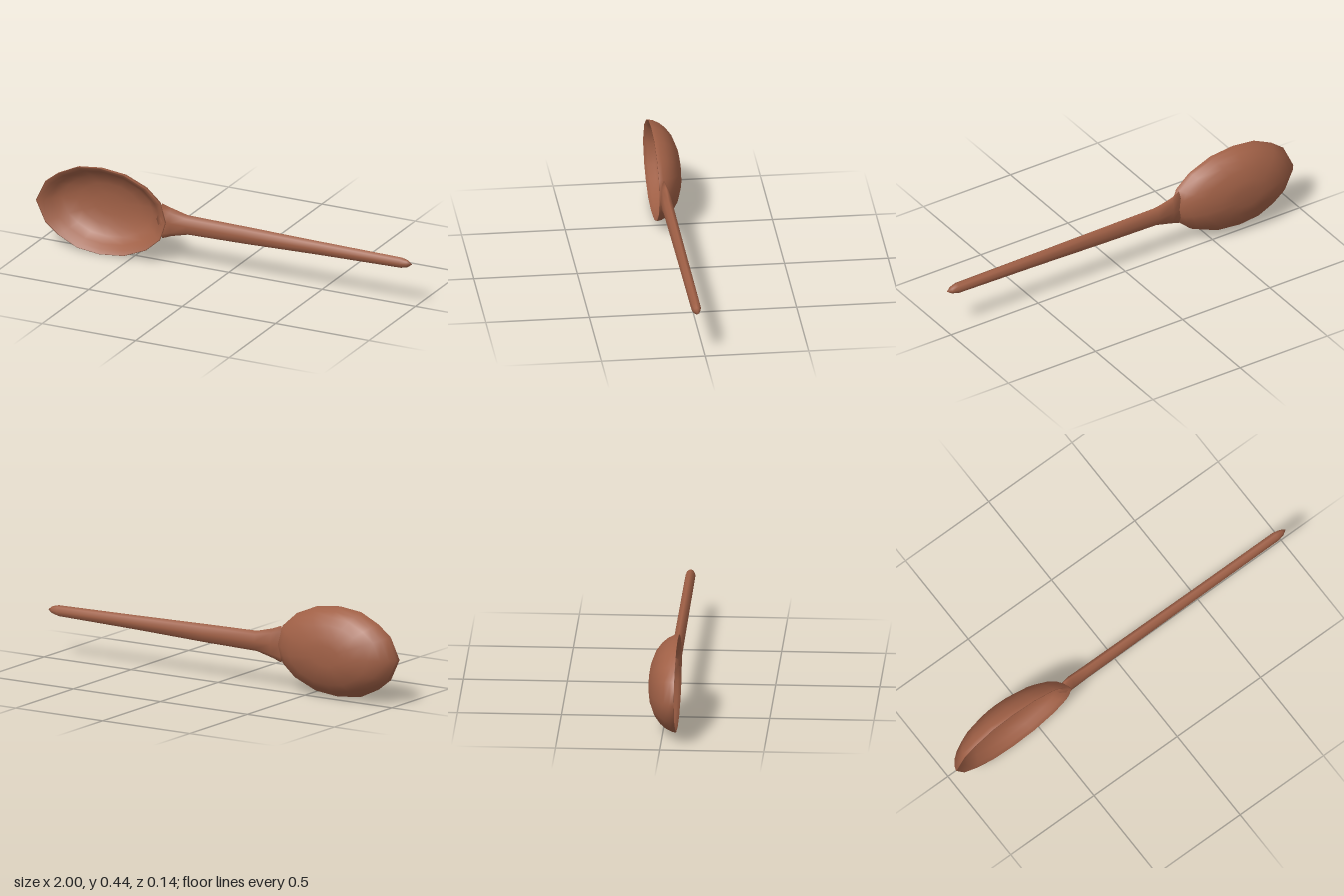
import * as THREE from 'three';

const wood = new THREE.MeshStandardMaterial({ color: 0xa06046 });
wood.name = 'reddish wood';

// Smooth skin over closed rings of points, shut at both ends by a pole.
function loft(name, startPole, rings, endPole) {
  const n = rings[0].length;
  const pos = [...startPole, ...rings.flat(2), ...endPole];
  const last = rings.length * n + 1;
  const id = (i, j) => 1 + i * n + (j % n);
  const index = [];
  for (let j = 0; j < n; j++) {
    index.push(0, id(0, j + 1), id(0, j));
    for (let i = 0; i < rings.length - 1; i++) {
      index.push(id(i, j), id(i, j + 1), id(i + 1, j));
      index.push(id(i, j + 1), id(i + 1, j + 1), id(i + 1, j));
    }
    index.push(id(rings.length - 1, j), id(rings.length - 1, j + 1), last);
  }
  const geo = new THREE.BufferGeometry();
  geo.setAttribute('position', new THREE.Float32BufferAttribute(pos, 3));
  geo.setIndex(index);
  geo.computeVertexNormals();
  const mesh = new THREE.Mesh(geo, wood);
  mesh.name = name;
  return mesh;
}

export function createModel() {
  const group = new THREE.Group();
  group.name = 'spoon';
  const cx = -0.66, cy = 0.224;

  // Bowl outline: upper half from neck to tip, relative to the bowl centre
  const upper = [[0.34, 0.05], [0.325, 0.092], [0.25, 0.158], [0.13, 0.208], [0, 0.222],
    [-0.12, 0.208], [-0.22, 0.16], [-0.29, 0.105]];
  const lower = upper.map(([x, y]) => [x, -y]).reverse();
  const outline = [[0.355, 0], ...upper, [-0.34, 0], ...lower];

  // Bowl wall as [scale, z]: up the back, over the lip, down the hollow
  const wall = [[0.22, -0.069], [0.41, -0.062], [0.66, -0.04], [0.82, -0.012], [0.92, 0.016],
    [0.98, 0.045], [1, 0.066], [0.985, 0.067], [0.9, 0.052], [0.83, 0.022],
    [0.7, -0.012], [0.48, -0.034], [0.24, -0.043]];
  group.add(loft('bowl', [cx, cy, -0.07],
    wall.map(([s, z]) => outline.map(([x, y]) => [cx + x * s, cy + y * s, z])),
    [cx, cy, -0.045]));

  // Neck and handle as [x, y, half height, z, half depth]
  const sections = [[-0.335, 0.224, 0.09, 0.043, 0.017], [-0.29, 0.224, 0.073, 0.038, 0.024],
    [-0.2, 0.224, 0.05, 0.037, 0.027], [0.1, 0.225, 0.045, 0.037, 0.026],
    [0.5, 0.228, 0.035, 0.037, 0.025], [0.94, 0.23, 0.027, 0.037, 0.024],
    [0.975, 0.23, 0.018, 0.037, 0.016]];
  const sides = 8;
  group.add(loft('handle', [-0.37, 0.224, 0.035],
    sections.map(([x, y, h, z, d]) => Array.from({ length: sides }, (_, j) => {
      const a = (j / sides) * Math.PI * 2;
      return [x, y + Math.cos(a) * h, z + Math.sin(a) * d];
    })),
    [1, 0.23, 0.037]));

  return group;
}
